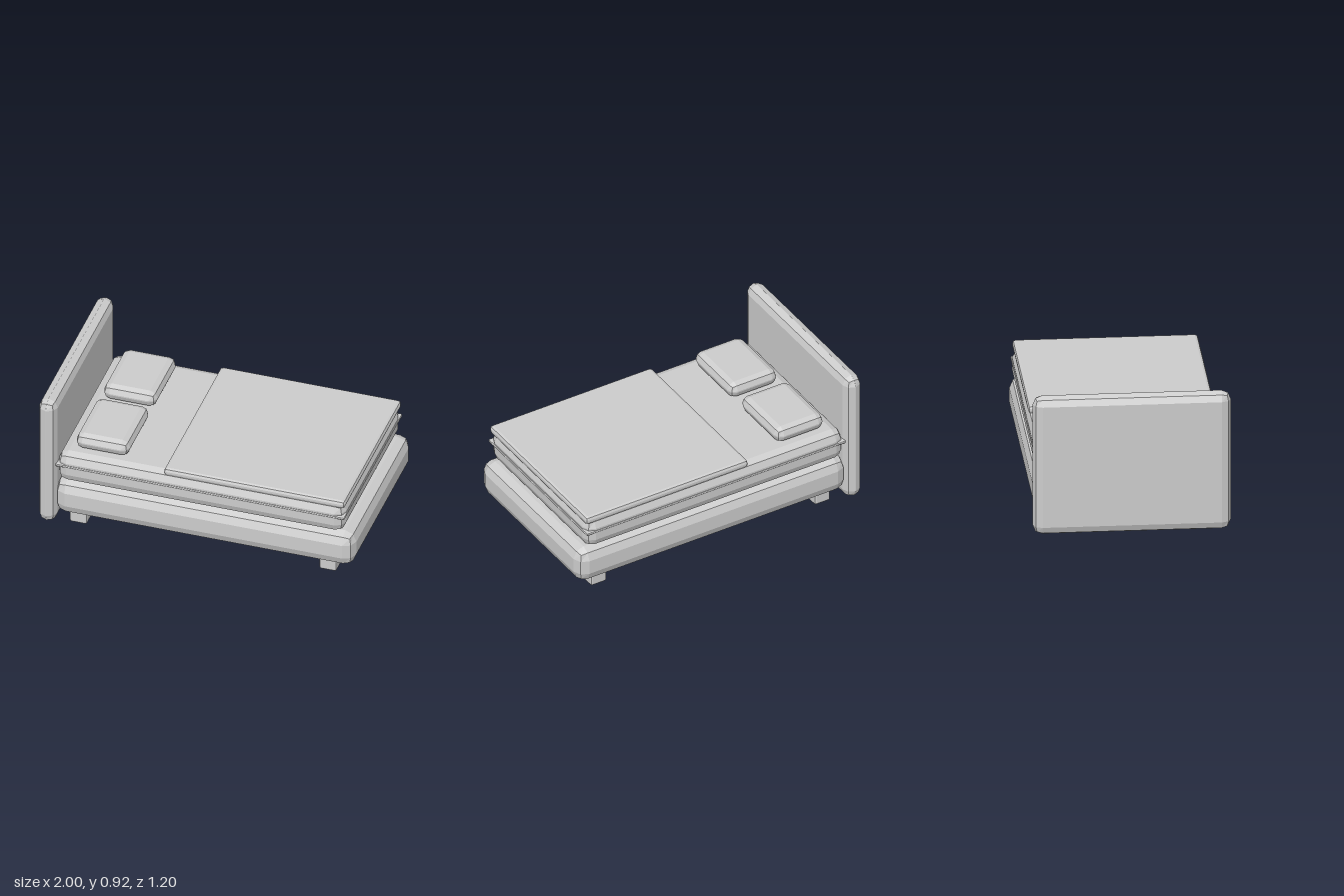
import * as THREE from 'three';

// Box between two corners, every edge rounded with a two-step bevel of radius r.
function bevelBox(min, max, r) {
  const size = max.map((v, i) => v - min[i]);
  const mid = max.map((v, i) => (v + min[i]) / 2);
  const geo = new THREE.BoxGeometry(1, 1, 1, 3, 3, 3);
  const pos = geo.attributes.position;
  const core = new THREE.Vector3(...size).multiplyScalar(0.5).subScalar(r);
  const p = new THREE.Vector3();
  const dir = new THREE.Vector3();
  const onSide = (c) => (Math.abs(c) > 0.49 ? Math.sign(c) : 0);
  for (let i = 0; i < pos.count; i++) {
    p.fromBufferAttribute(pos, i);
    dir.set(onSide(p.x), onSide(p.y), onSide(p.z)).normalize();
    p.set(Math.sign(p.x), Math.sign(p.y), Math.sign(p.z)).multiply(core).addScaledVector(dir, r);
    pos.setXYZ(i, p.x + mid[0], p.y + mid[1], p.z + mid[2]);
  }
  const flat = geo.toNonIndexed();
  flat.computeVertexNormals();
  return flat;
}

export function createModel() {
  const bed = new THREE.Group();
  bed.name = 'bed';
  const grey = new THREE.MeshStandardMaterial({ color: 0xcccccc, flatShading: true });
  grey.name = 'light grey';

  const add = (name, min, max, r) => {
    const mesh = new THREE.Mesh(bevelBox(min, max, r), grey);
    mesh.name = name;
    bed.add(mesh);
  };

  // Headboard and base
  add('headboard', [-1, 0.025, -0.6], [-0.884, 0.915, 0.6], 0.057);
  add('bedBase', [-0.9, 0.095, -0.58], [1, 0.328, 0.58], 0.07);

  // Mattress with a thin piping band, and the folded blanket
  add('mattress', [-0.885, 0.33, -0.567], [0.935, 0.533, 0.567], 0.06);
  add('mattressPiping', [-0.892, 0.44, -0.572], [0.942, 0.461, 0.572], 0.01);
  add('blanket', [-0.207, 0.515, -0.562], [0.94, 0.568, 0.562], 0.02);

  // Pillows and feet, mirrored front to back
  for (const s of [-1, 1]) {
    const side = s > 0 ? 'front' : 'back';
    const span = (a, b) => [Math.min(s * a, s * b), Math.max(s * a, s * b)];
    const [p0, p1] = span(0.046, 0.49);
    add(side + 'Pillow', [-0.795, 0.535, p0], [-0.457, 0.637, p1], 0.047);
    const [f0, f1] = span(0.38, 0.502);
    for (const [end, x] of [['Head', -0.768], ['Foot', 0.815]]) {
      add(side + end + 'Leg', [x - 0.055, 0, f0], [x + 0.055, 0.115, f1], 0.013);
    }
  }
  return bed;
}
